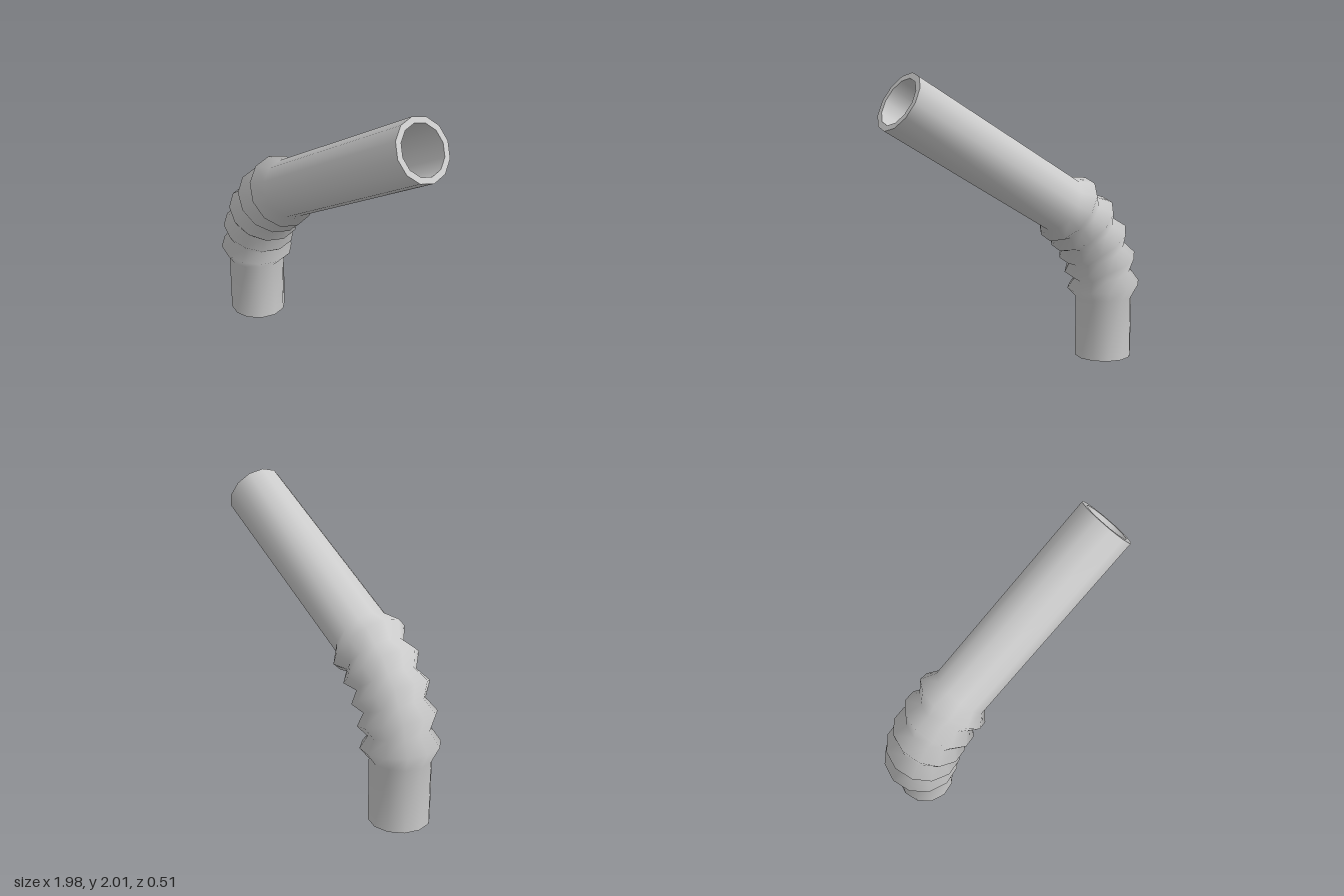
import * as THREE from 'three';

const SIDES = 12;
const TUBE_R = 0.2, RIDGE_R = 0.257, WALL = 0.04;
const BEND_R = 0.8, BEND_X = 0.06, BEND_Y = 0.43;
const BEND = Math.PI / 3, FOLDS = 5, ARM = 1.42;

// Skin a list of rings { x, y, tilt, r }; the surface faces outward when they run along the tube
function loft(rings) {
  const pos = [], index = [];
  for (const { x, y, tilt, r } of rings) {
    for (let j = 0; j < SIDES; j++) {
      const a = (j / SIDES) * Math.PI * 2, c = r * Math.cos(a);
      pos.push(x + c * Math.cos(tilt), y - c * Math.sin(tilt), r * Math.sin(a));
    }
  }
  for (let i = 0; i < rings.length - 1; i++) {
    for (let j = 0; j < SIDES; j++) {
      const k = (j + 1) % SIDES;
      const a = i * SIDES + j, b = i * SIDES + k, c = a + SIDES, d = b + SIDES;
      index.push(a, c, b, b, c, d);
    }
  }
  const geo = new THREE.BufferGeometry();
  geo.setAttribute('position', new THREE.Float32BufferAttribute(pos, 3));
  geo.setIndex(index);
  geo.computeVertexNormals();
  return geo;
}

export function createModel() {
  const group = new THREE.Group();
  group.name = 'bendyStraw';
  const material = new THREE.MeshStandardMaterial({ color: 0xcccccc });
  const add = (name, rings) => {
    const mesh = new THREE.Mesh(loft(rings), material);
    mesh.name = name;
    group.add(mesh);
  };

  // Short upright foot, then a bellows on an arc with alternating valleys and ridges
  const outer = [{ x: BEND_X - BEND_R, y: 0, tilt: 0, r: TUBE_R }];
  for (let i = 0; i <= FOLDS * 2; i++) {
    const tilt = (BEND * i) / (FOLDS * 2);
    outer.push({
      x: BEND_X - BEND_R * Math.cos(tilt),
      y: BEND_Y + BEND_R * Math.sin(tilt),
      tilt,
      r: i % 2 ? RIDGE_R : TUBE_R,
    });
  }

  // Long straight arm leaving the bend
  const last = outer[outer.length - 1];
  outer.push({
    x: last.x + ARM * Math.sin(BEND),
    y: last.y + ARM * Math.cos(BEND),
    tilt: BEND,
    r: TUBE_R,
  });
  const inner = outer.map((ring) => ({ ...ring, r: ring.r - WALL }));

  add('outerWall', outer);
  add('innerWall', [...inner].reverse());

  // Flat rims closing the wall thickness at both ends
  const n = outer.length - 1;
  add('bottomRim', [inner[0], outer[0]]);
  add('mouthRim', [outer[n], inner[n]]);

  return group;
}
